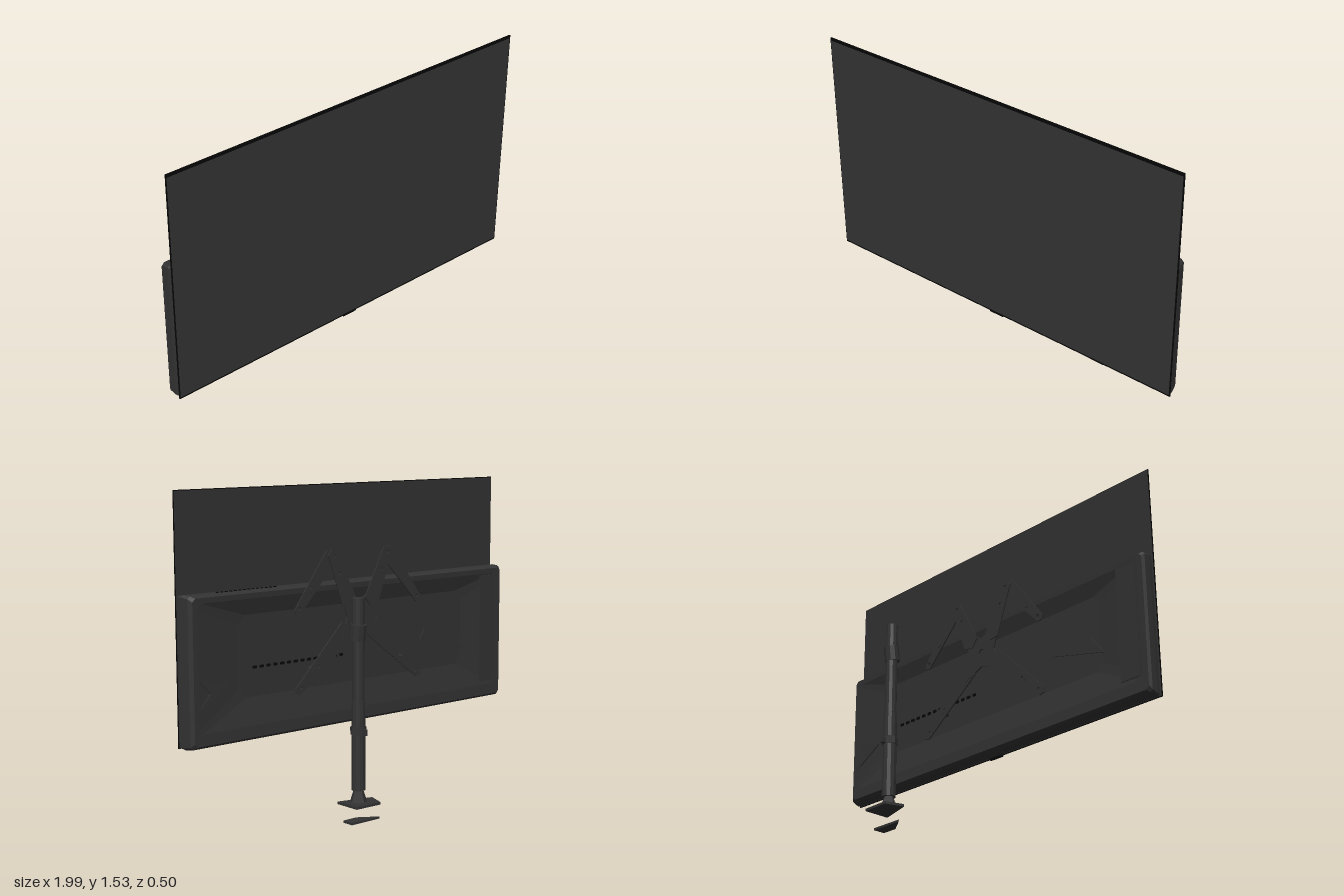
import * as THREE from 'three';

export function createModel() {
  const root = new THREE.Group();
  const material = (name, color) => {
    const m = new THREE.MeshStandardMaterial({ color, flatShading: true });
    m.name = name;
    return m;
  };
  const charcoal = material('charcoal', 0x333333);
  const black = material('black', 0x060606);
  charcoal.side = THREE.DoubleSide;

  const add = (name, geometry, mat, parent = root) => {
    const mesh = new THREE.Mesh(geometry, mat);
    mesh.name = name;
    parent.add(mesh);
    return mesh;
  };
  const group = (name) => {
    const g = new THREE.Group();
    g.name = name;
    root.add(g);
    return g;
  };
  // Box given by its lower and upper corners
  const box = (name, a, b, mat, parent) => {
    const mesh = add(name, new THREE.BoxGeometry(b[0] - a[0], b[1] - a[1], b[2] - a[2]), mat, parent);
    mesh.position.set((a[0] + b[0]) / 2, (a[1] + b[1]) / 2, (a[2] + b[2]) / 2);
    return mesh;
  };
  // Flat plate cut from an outline, with optional round holes [x, y, radius]
  const plate = (points, depth, holes = []) => {
    const shape = new THREE.Shape(points.map((p) => new THREE.Vector2(...p)));
    for (const [x, y, r] of holes) {
      const hole = new THREE.Path();
      hole.absarc(x, y, r, 0, Math.PI * 2, true);
      shape.holes.push(hole);
    }
    return new THREE.ExtrudeGeometry(shape, { depth, bevelEnabled: false, curveSegments: 8 });
  };
  // Horizontal plate from x/z points, rising from height y
  const floorPlate = (name, points, y, thick, parent) => {
    const mesh = add(name, plate(points.map(([x, z]) => [x, -z]), thick), charcoal, parent);
    mesh.rotation.x = -Math.PI / 2;
    mesh.position.y = y;
  };

  // Thin display panel
  const display = group('display');
  box('bezel', [-0.997, 0.383, 0.242], [0.993, 1.53, 0.248], black, display);
  box('screen', [-0.993, 0.392, 0.247], [0.988, 1.515, 0.25], charcoal, display);
  box('panelBack', [-0.995, 0.385, 0.239], [0.991, 1.526, 0.243], charcoal, display);
  box('sensorTab', [-0.04, 0.376, 0.236], [0.04, 0.386, 0.247], black, display);

  // Rear housing lofted through rectangular loops with cut corners
  const loop = (x0, x1, y0, y1, z, c) => [
    [x0 + c, y0, z], [x1 - c, y0, z], [x1, y0 + c, z], [x1, y1 - c, z],
    [x1 - c, y1, z], [x0 + c, y1, z], [x0, y1 - c, z], [x0, y0 + c, z],
  ];
  const loops = [
    loop(-0.99, 0.99, 0.385, 1.07, 0.237, 0.008),
    loop(-0.995, 0.985, 0.38, 1.073, 0.215, 0.008),
    loop(-0.998, 0.975, 0.383, 1.07, 0.178, 0.012),
    loop(-0.99, 0.96, 0.395, 1.06, 0.164, 0.016),
    loop(-0.96, 0.935, 0.45, 1.035, 0.165, 0.02),
    loop(-0.72, 0.7, 0.58, 0.96, 0.187, 0.04),
  ];
  const vertices = [];
  for (let k = 0; k < loops.length - 1; k++) {
    for (let i = 0; i < 8; i++) {
      const j = (i + 1) % 8;
      const [a, b] = [loops[k], loops[k + 1]];
      vertices.push(...a[i], ...b[i], ...a[j], ...a[j], ...b[i], ...b[j]);
    }
  }
  const last = loops[loops.length - 1];
  last.forEach((p, i) => vertices.push(...p, 0, 0.77, 0.187, ...last[(i + 1) % 8]));
  const shell = new THREE.BufferGeometry();
  shell.setAttribute('position', new THREE.Float32BufferAttribute(vertices, 3));
  shell.computeVertexNormals();
  add('rearHousing', shell, charcoal);

  // Socket recesses, side cover and vents on the housing
  const details = group('housingDetails');
  const socket = add('socketRecess', plate([[-0.43, 0.74], [-0.74, 0.66], [-0.66, 0.76], [-0.46, 0.79]], 0.005), charcoal, details);
  socket.position.z = 0.179;
  const label = add('sideRecess', plate([[0.77, 0.65], [0.94, 0.55], [0.87, 0.63], [0.93, 0.69]], 0.005), charcoal, details);
  label.position.z = 0.164;
  box('sideCover', [-0.95, 0.47, 0.161], [-0.84, 1.03, 0.166], charcoal, details);
  for (let i = 0; i < 14; i++) {
    const x = 0.47 + i * 0.025;
    box('topVent', [x, 1.068, 0.195], [x + 0.013, 1.075, 0.203], black, details);
    const bx = 0.08 + i * 0.04;
    box('rearVent', [bx, 0.71, 0.181], [bx + 0.02, 0.722, 0.189], black, details);
  }

  // Cross-shaped wall bracket with folded upper arms
  const bracket = group('mountBracket');
  const arm = (name, [ax, ay], [bx, by], wa, wb, z) => {
    const len = Math.hypot(bx - ax, by - ay);
    const mesh = add(name, plate(
      [[0, -wa], [len, -wb], [len + wb * 0.7, 0], [len, wb], [0, wa], [-wa * 0.6, 0]],
      0.006, [[len * 0.94, 0, 0.009], [len * 0.6, 0, 0.008]]), charcoal, bracket);
    mesh.position.set(ax, ay, z);
    mesh.rotation.z = Math.atan2(by - ay, bx - ax);
  };
  const hub = add('hubPlate', plate(
    [[-0.13, 0.77], [0, 0.83], [0.13, 0.77], [0.08, 0.9], [0.13, 1.04], [0, 0.98], [-0.13, 1.04], [-0.08, 0.9]],
    0.007, [[0, 0.9, 0.02]]), charcoal, bracket);
  hub.position.z = 0.147;
  for (const s of [-1, 1]) {
    arm('upperArm', [s * 0.07, 0.97], [s * 0.175, 1.21], 0.045, 0.028, 0.142);
    arm('outerArm', [s * 0.175, 1.2], [s * 0.385, 0.95], 0.04, 0.02, 0.148);
    arm('lowerArm', [s * 0.08, 0.84], [s * 0.385, 0.575], 0.05, 0.022, 0.148);
    for (const y of [0.67, 1.045]) {
      const x = s * (y > 1 ? 0.3 : 0.28);
      const spacer = add('spacer', new THREE.CylinderGeometry(0.012, 0.012, 0.045, 8), charcoal, bracket);
      spacer.rotation.x = Math.PI / 2;
      spacer.position.set(x, y, 0.168);
    }
  }

  // Free-standing pole: stacked tubes with a tilted collar
  const pole = group('pole');
  const tube = (name, r0, r1, y0, y1, sides = 12) => {
    const mesh = add(name, new THREE.CylinderGeometry(r1, r0, y1 - y0, sides), charcoal, pole);
    mesh.position.set(0.295, (y0 + y1) / 2, -0.172);
    return mesh;
  };
  tube('footCone', 0.04, 0.02, 0.098, 0.16, 8);
  tube('lowerTube', 0.033, 0.032, 0.155, 0.57);
  tube('upperTube', 0.029, 0.029, 0.56, 0.86);
  tube('topTube', 0.029, 0.029, 0.85, 1.04);
  tube('collar', 0.037, 0.037, 0.848, 0.922, 10).rotation.x = -0.12;
  tube('cableClip', 0.037, 0.037, 0.415, 0.45, 8);
  box('clipTab', [0.285, 0.415, -0.225], [0.305, 0.443, -0.2], charcoal, pole);

  // Desk clamp: upper foot and separate lower jaw
  floorPlate('clampFoot', [[0.2, -0.16], [0.37, -0.112], [0.37, -0.245], [0.23, -0.25]], 0.088, 0.012, pole);
  floorPlate('clampJaw', [[0.19, -0.2], [0.28, -0.14], [0.36, -0.14], [0.36, -0.2]], 0.004, 0.01, pole);

  return root;
}
